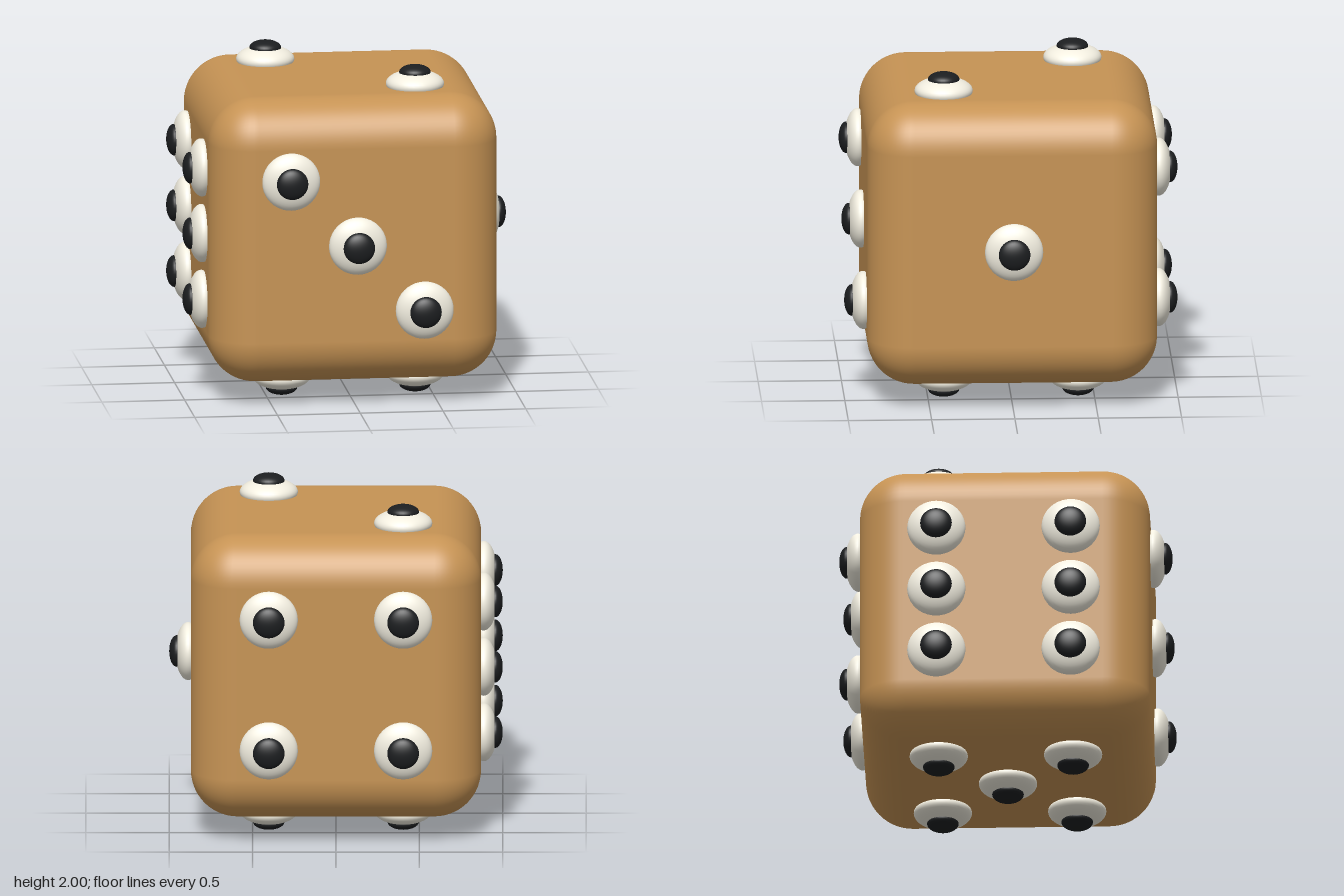
import * as THREE from 'three';
import { RoundedBoxGeometry } from 'three/addons/geometries/RoundedBoxGeometry.js';

const HALF = 0.87; // half the cube's side
const D = 0.403;   // spacing of the eyes from a face's centre

const mat = (color) => new THREE.MeshStandardMaterial({ color });

export function createModel() {
  const group = new THREE.Group();
  group.name = 'die';
  const wood = mat(0xc69354), white = mat(0xf2eee0), black = mat(0x1c1e20);

  // Rounded cube
  const body = new THREE.Mesh(new RoundedBoxGeometry(2 * HALF, 2 * HALF, 2 * HALF, 8, 0.28), wood);
  body.name = 'body';
  body.position.y = 1;
  group.add(body);

  // Flattened balls, squashed along the axis that points out of the face
  const eyeGeo = new THREE.SphereGeometry(1, 40, 24).rotateX(Math.PI / 2).scale(0.175, 0.175, 0.078);
  const pupilGeo = new THREE.SphereGeometry(1, 32, 20).rotateX(Math.PI / 2).scale(0.095, 0.095, 0.045);

  function makeEye(x, y) {
    const eye = new THREE.Group();
    eye.name = 'eye';
    const ball = new THREE.Mesh(eyeGeo, white);
    ball.name = 'eyeball';
    ball.position.z = HALF + 0.016;
    const pupil = new THREE.Mesh(pupilGeo, black);
    pupil.name = 'pupil';
    pupil.position.z = 0.955;
    eye.add(ball, pupil);
    eye.position.set(x, y, 0);
    return eye;
  }

  // Each face: name, rotation about x and y, eye places in units of D
  const corners = [[-1, -1], [-1, 1], [1, -1], [1, 1]];
  const q = Math.PI / 2;
  const faces = [
    ['rightSide', 0, q, [[0, 0]]],
    ['top', -q, 0, [[-1, 1], [1, -1]]],
    ['front', 0, 0, [[-1, 1], [0, 0], [1, -1]]],
    ['back', 0, Math.PI, corners],
    ['bottom', q, 0, [...corners, [0, 0]]],
    ['leftSide', 0, -q, [...corners, [-1, 0], [1, 0]]],
  ];
  for (const [name, rx, ry, spots] of faces) {
    const face = new THREE.Group();
    face.name = name + 'Eyes';
    for (const [x, y] of spots) face.add(makeEye(x * D, y * D));
    face.rotation.set(rx, ry, 0);
    face.position.y = 1;
    group.add(face);
  }
  return group;
}
